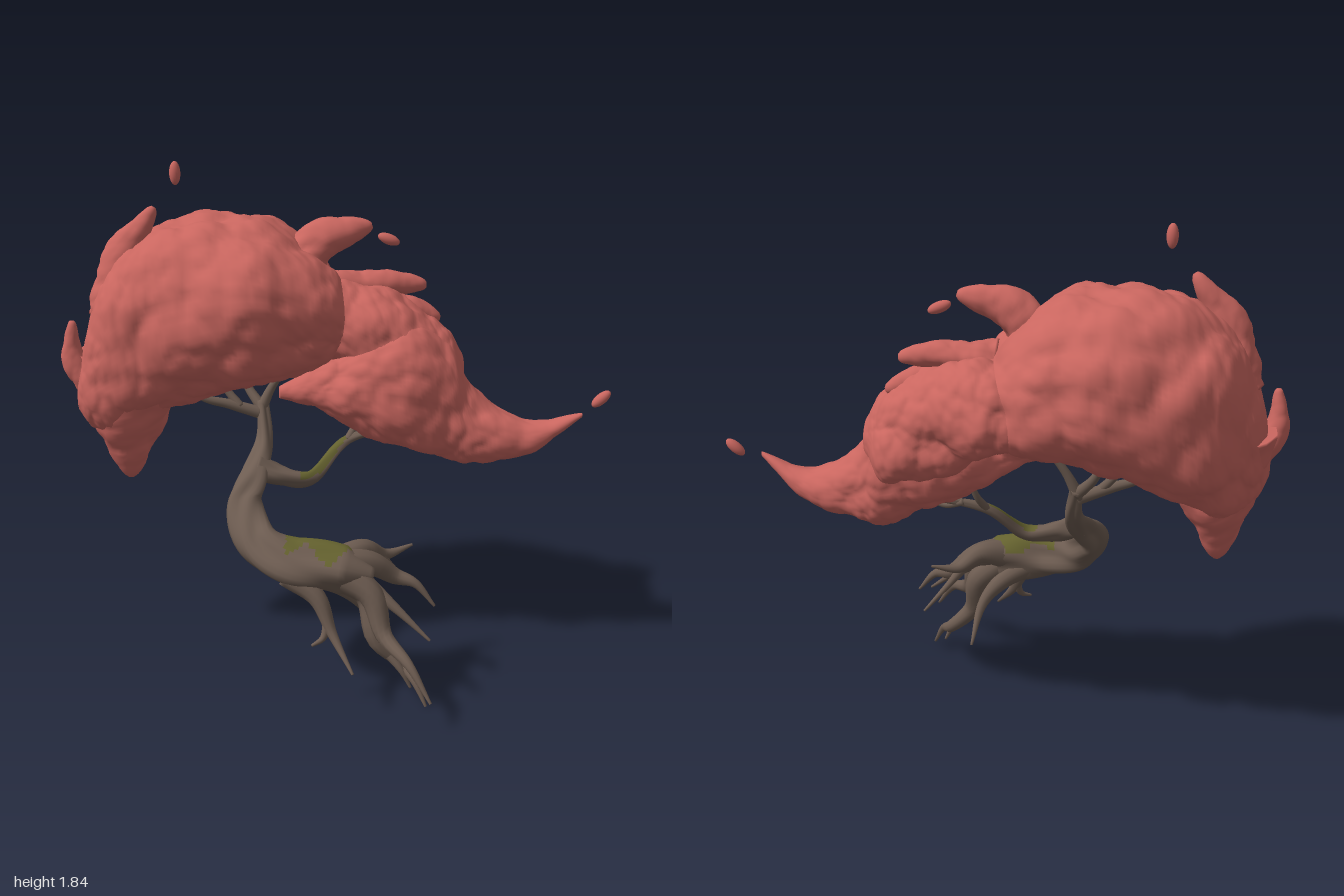
import * as THREE from 'three';

const leafMat = new THREE.MeshStandardMaterial({ color: 0xc9665f });
leafMat.name = 'coralFoliage';
const barkMat = new THREE.MeshStandardMaterial({ color: 0x6d5c51 });
barkMat.name = 'brownBark';
const mossMat = new THREE.MeshStandardMaterial({ color: 0x65622f });
mossMat.name = 'oliveMoss';

// Cellular bumps: high in the middle of a clump, creased between clumps
const hash = (a, b, c, k) => {
  const s = Math.sin(a * 127 + b * 311 + c * 75 + k * 53) * 43758.5;
  return s - Math.floor(s);
};
function clump(p, freq) {
  const q = p.clone().multiplyScalar(freq), cell = q.clone().floor();
  let best = 9;
  for (let a = cell.x - 1; a <= cell.x + 1; a++)
    for (let b = cell.y - 1; b <= cell.y + 1; b++)
      for (let c = cell.z - 1; c <= cell.z + 1; c++)
        best = Math.min(best, Math.hypot(a + hash(a, b, c, 1) - q.x, b + hash(a, b, c, 2) - q.y, c + hash(a, b, c, 3) - q.z));
  return 0.4 - best * best;
}
const leafBump = (p) => 0.06 * clump(p, 4.2) + 0.024 * clump(p, 10) + 0.011 * clump(p, 26);

// Closed skin over a row of rings; faces accepted by isMoss go to a second group
function skin(rings, isMoss) {
  const n = rings[0].length, main = [], moss = [];
  const centres = rings.map((r) => r.reduce((s, p) => s.add(p), new THREE.Vector3()).divideScalar(n));
  const end = n * (rings.length - 1), cap = n * rings.length;
  for (let j = 0; j < n; j++) {
    const k = (j + 1) % n;
    main.push(cap, k, j, cap + 1, end + j, end + k);
    for (let i = 0; i < rings.length - 1; i++) {
      const a = i * n + j, b = i * n + k;
      const list = isMoss && isMoss(rings[i][j], centres[i]) ? moss : main;
      list.push(a, b, b + n, a, b + n, a + n);
    }
  }
  const g = new THREE.BufferGeometry().setFromPoints([...rings.flat(), centres[0], centres[centres.length - 1]]);
  g.setIndex([...main, ...moss]);
  if (moss.length) {
    g.addGroup(0, main.length, 0);
    g.addGroup(main.length, moss.length, 1);
  }
  g.computeVertexNormals();
  return g;
}

// Limb along a curve through points, with a radius rule and optional surface relief
const taper = (r0, r1, power = 1) => (t) => r1 + (r0 - r1) * (1 - t) ** power;
function limb(pts, radius, { steps = 24, sides = 10, relief = () => 0, isMoss } = {}) {
  const path = new THREE.CatmullRomCurve3(pts.map((p) => new THREE.Vector3(...p)));
  const rings = [];
  for (let i = 0; i <= steps; i++) {
    const t = i / steps, r = radius(t), centre = path.getPoint(t), tan = path.getTangent(t);
    const v = new THREE.Vector3(0, 0, 1).addScaledVector(tan, -tan.z).normalize();
    const u = new THREE.Vector3().crossVectors(v, tan);
    rings.push(Array.from({ length: sides }, (_, j) => {
      const a = (j / sides) * Math.PI * 2;
      const dir = u.clone().multiplyScalar(Math.cos(a)).addScaledVector(v, Math.sin(a));
      const p = centre.clone().addScaledVector(dir, r);
      return p.addScaledVector(dir, relief(p, a, t, r));
    }));
  }
  return skin(rings, isMoss);
}

// Foliage mass along x through stations [x, bottom, top, back, front], rounder above than below
function mass(stations, steps = 100, sides = 100) {
  const curve = (a, b) => new THREE.CatmullRomCurve3(
    stations.map((s) => new THREE.Vector3(s[0], s[a], s[b])), false, 'catmullrom', 0.5);
  const ys = curve(1, 2), zs = curve(3, 4), rings = [];
  for (let i = 0; i <= steps; i++) {
    const Y = ys.getPoint(i / steps), Z = zs.getPoint(i / steps);
    const hy = Math.max((Y.z - Y.y) / 2, 0.004), hz = Math.max((Z.z - Z.y) / 2, 0.004);
    const fade = Math.min(1, hy / 0.12, hz / 0.12);
    rings.push(Array.from({ length: sides }, (_, j) => {
      const a = (j / sides) * Math.PI * 2, power = Math.cos(a) > 0 ? 1 : 0.86;
      const [ca, sa] = [Math.cos(a), Math.sin(a)].map((v) => Math.sign(v) * Math.abs(v) ** power);
      const p = new THREE.Vector3(Y.x, (Y.y + Y.z) / 2 + hy * ca, (Z.y + Z.z) / 2 + hz * sa);
      const b = leafBump(p) * fade;
      return p.add(new THREE.Vector3(0, ca * b, sa * b));
    }));
  }
  return skin(rings);
}

export function createModel() {
  const model = new THREE.Group();
  model.name = 'windsweptTree';
  const group = (name) => {
    const g = new THREE.Group();
    g.name = name;
    model.add(g);
    return g;
  };
  const add = (parent, name, geometry, material) => {
    const m = new THREE.Mesh(geometry, material);
    m.name = name;
    parent.add(m);
    return m;
  };

  // Foliage masses
  const crown = group('crown');
  add(crown, 'mainDome', mass([
    [-0.94, 0.96, 1.06, -0.15, -0.06], [-0.89, 0.9, 1.28, -0.27, -0.01], [-0.78, 0.88, 1.52, -0.43, 0.04],
    [-0.6, 0.96, 1.61, -0.54, 0.08], [-0.3, 1.06, 1.64, -0.57, 0.15],
    [-0.04, 1.11, 1.48, -0.49, 0.06], [0.06, 1.2, 1.34, -0.36, -0.05]]), leafMat);
  add(crown, 'rearRidge', mass([
    [-0.22, 1.2, 1.4, -0.42, -0.08], [0, 1.09, 1.43, -0.5, 0], [0.2, 1, 1.38, -0.4, 0.02],
    [0.38, 0.96, 1.25, -0.33, 0], [0.46, 1.04, 1.14, -0.2, -0.06]]), leafMat);
  add(crown, 'lowerLobe', mass([
    [-0.21, 1.01, 1.05, -0.06, -0.02], [-0.1, 0.97, 1.1, -0.13, 0.02], [0.05, 0.91, 1.19, -0.22, 0.07],
    [0.25, 0.82, 1.28, -0.28, 0.09], [0.4, 0.78, 1.2, -0.26, 0.06], [0.5, 0.78, 1.01, -0.2, 0.04],
    [0.7, 0.81, 0.92, -0.1, 0.04], [0.88, 0.95, 0.965, 0.02, 0.035]]), leafMat);

  // Curled foliage tips, each lying in a plane of constant z
  const tip = (name, z, r, power, pts) => add(crown, name, limb(pts.map(([x, y]) => [x, y, z]), taper(r, 0.01, power),
    { steps: 36, sides: 32, relief: (p, a, t, rad) => leafBump(p) * Math.min(0.9, rad * 10) }), leafMat);
  tip('droopingTip', -0.16, 0.2, 0.75, [[-0.74, 1.13], [-0.77, 0.9], [-0.775, 0.67]]);
  tip('upperLeftTip', -0.17, 0.1, 0.6, [[-0.79, 1.3], [-0.78, 1.48], [-0.65, 1.68]]);
  tip('sideTip', -0.12, 0.055, 0.6, [[-0.89, 1.03], [-0.96, 1.15], [-0.955, 1.28]]);
  tip('topTip', -0.2, 0.1, 0.6, [[-0.17, 1.36], [-0.06, 1.55], [0.13, 1.61]]);
  tip('middleTip', -0.2, 0.075, 0.6, [[0, 1.38], [0.16, 1.4], [0.33, 1.39]]);
  tip('lowerTip', -0.18, 0.07, 0.6, [[0.12, 1.29], [0.27, 1.3], [0.38, 1.27]]);

  // Drifting leaves
  [[-0.57, 1.8, -0.17, 0], [0.19, 1.56, -0.19, 1.2], [0.96, 1, -0.03, -0.85]].forEach(([x, y, z, turn]) => {
    const leaf = add(crown, 'driftingLeaf', new THREE.SphereGeometry(0.02, 16, 12), leafMat);
    leaf.scale.y = 2.1;
    leaf.position.set(x, y, z);
    leaf.rotation.z = turn;
  });

  // Trunk and low bough with twisted ridges, mossy on their upper sides
  const wood = group('wood');
  const ridges = (p, a, t, r) => r * (0.13 * Math.cos(3 * a + 9 * t) + 0.07 * Math.sin(5 * a - 14 * t));
  const mossOn = (x0, x1, up) => (p, c) =>
    p.x > x0 && p.x < x1 && p.y - c.y > up * (1 + 0.3 * Math.sin(p.x * 40));
  add(wood, 'trunk', limb([
    [0.12, 0.45, 0.29], [-0.03, 0.475, 0.27], [-0.17, 0.49, 0.25], [-0.29, 0.54, 0.17], [-0.335, 0.64, 0.06],
    [-0.3, 0.72, -0.03], [-0.27, 0.81, -0.15], [-0.28, 0.94, -0.23]],
  (t) => Math.min(1, 0.4 + 6 * t) * (0.022 + 0.066 * Math.cos(t * Math.PI / 2) ** 1.2),
  { steps: 80, sides: 28, relief: ridges, isMoss: mossOn(-0.19, 0.08, 0.058) }), [barkMat, mossMat]);
  add(wood, 'lowBough', limb([
    [-0.3, 0.74, -0.04], [-0.21, 0.71, -0.04], [-0.1, 0.7, -0.05], [0.04, 0.82, -0.12], [0.27, 0.87, -0.14]],
  taper(0.045, 0.008),
  { steps: 44, sides: 14, relief: ridges, isMoss: mossOn(-0.14, 0.02, 0.008) }), [barkMat, mossMat]);

  // Upper branches
  const branch = (name, r, pts) => add(wood, name, limb(pts, taper(r, 0.009)), barkMat);
  branch('leftBranch', 0.025, [[-0.28, 0.9, -0.21], [-0.4, 0.94, -0.2], [-0.5, 0.97, -0.19], [-0.6, 1.05, -0.2]]);
  branch('leftTwig', 0.018, [[-0.36, 0.93, -0.2], [-0.42, 1, -0.22], [-0.5, 1.1, -0.22]]);
  branch('middleBranch', 0.022, [[-0.28, 0.92, -0.22], [-0.34, 1, -0.27], [-0.38, 1.12, -0.31]]);
  branch('rightBranch', 0.022, [[-0.28, 0.92, -0.22], [-0.24, 1, -0.23], [-0.12, 1.16, -0.24]]);
  branch('boughTwig', 0.016, [[0.04, 0.82, -0.12], [0.07, 0.87, -0.15], [0.1, 0.95, -0.17]]);
  branch('boughSideTwig', 0.013, [[0.12, 0.85, -0.14], [0.19, 0.83, -0.12], [0.28, 0.86, -0.1]]);

  // Winding roots trailing from the trunk foot
  const root = (name, r, ...pts) => add(wood, name, limb(pts, taper(r, 0.005, 1.1)), barkMat);
  root('lowRoot', 0.06, [0, 0.45, 0.27], [0.1, 0.37, 0.26], [0.13, 0.22, 0.31], [0.22, 0.13, 0.32], [0.26, 0.09, 0.38], [0.3, 0.008, 0.42]);
  root('lowRootFork', 0.02, [0.17, 0.17, 0.32], [0.22, 0.11, 0.35], [0.25, 0.05, 0.36]);
  root('frontRoot', 0.06, [0, 0.47, 0.29], [0.11, 0.4, 0.34], [0.15, 0.28, 0.4], [0.23, 0.22, 0.51], [0.3, 0.11, 0.58]);
  root('sideRoot', 0.06, [0, 0.49, 0.27], [0.11, 0.48, 0.24], [0.2, 0.42, 0.22], [0.27, 0.4, 0.24], [0.34, 0.32, 0.26]);
  root('upperRoot', 0.06, [0, 0.49, 0.25], [0.09, 0.51, 0.19], [0.17, 0.47, 0.14], [0.27, 0.49, 0.1]);
  root('upperRootFork', 0.024, [0.14, 0.48, 0.16], [0.2, 0.41, 0.14], [0.3, 0.31, 0.08]);
  root('middleRoot', 0.035, [0.09, 0.43, 0.3], [0.18, 0.37, 0.35], [0.31, 0.26, 0.41]);
  root('backRoot', 0.055, [-0.12, 0.46, 0.25], [0, 0.39, 0.22], [0.08, 0.3, 0.19], [0.12, 0.16, 0.1]);
  root('leadingRoot', 0.05, [-0.18, 0.46, 0.28], [-0.08, 0.39, 0.33], [-0.03, 0.28, 0.38], [0.04, 0.17, 0.48]);
  root('leadingRootFork', 0.02, [-0.04, 0.32, 0.36], [-0.06, 0.26, 0.38], [-0.1, 0.24, 0.4]);
  return model;
}
